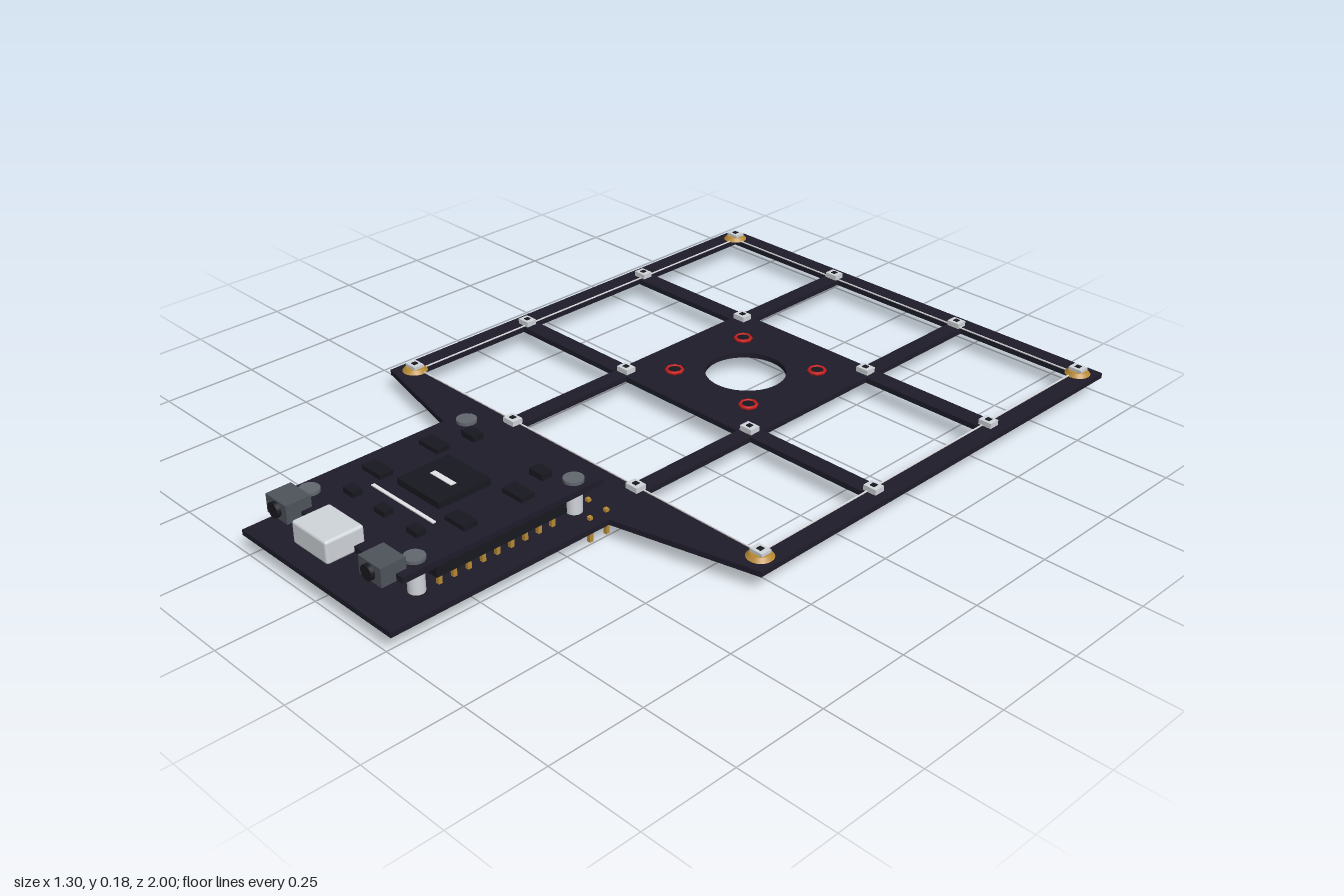
import * as THREE from 'three';
import { RoundedBoxGeometry } from 'three/addons/geometries/RoundedBoxGeometry.js';

const mat = (name, color) => {
  const m = new THREE.MeshStandardMaterial({ color });
  m.name = name;
  return m;
};

export function createModel() {
  const model = new THREE.Group();
  model.name = 'circuitBoardFrame';
  const board = mat('boardDark', 0x1d1c29);
  const plastic = mat('componentBlack', 0x181820);
  const silver = mat('silver', 0xd0d5da);
  const steel = mat('screwGrey', 0x62676e);
  const jackGrey = mat('jackGrey', 0x4e545b);
  const gold = mat('gold', 0xb88a34);
  const red = mat('red', 0xc81c1c);
  const white = mat('printWhite', 0xe4e4e8);

  const add = (name, geo, material, x = 0, y = 0, z = 0) => {
    const m = new THREE.Mesh(geo, material);
    m.name = name;
    m.position.set(x, y, z);
    model.add(m);
    return m;
  };
  // box given by its centre in x and z, and its bottom and top in y
  const box = (name, material, x, z, w, d, y0, y1) =>
    add(name, new THREE.BoxGeometry(w, y1 - y0, d), material, x, (y0 + y1) / 2, z);
  const rod = (name, material, x, z, r0, r1, y0, y1, n = 20) =>
    add(name, new THREE.CylinderGeometry(r1, r0, y1 - y0, n), material, x, (y0 + y1) / 2, z);

  // main plate: windowed frame, tapered neck and tongue
  const base = 0.044, top = 0.058;
  const outline = [[-0.65, -1], [0.65, -1], [0.65, 0.3], [0.27, 0.39],
    [0.27, 1], [-0.27, 1], [-0.27, 0.39], [-0.65, 0.3]];
  const shape = new THREE.Shape(outline.map(([x, z]) => new THREE.Vector2(x, -z)));
  const xs = [[-0.595, -0.24], [-0.195, 0.195], [0.24, 0.595]];
  const zs = [[-0.945, -0.595], [-0.545, -0.155], [-0.108, 0.245]];
  xs.forEach(([x0, x1], i) => zs.forEach(([z0, z1], j) => {
    const hole = new THREE.Path();
    if (i === 1 && j === 1) hole.absarc(0, 0.35, 0.105, 0, Math.PI * 2);
    else hole.setFromPoints([[x0, -z0], [x0, -z1], [x1, -z1], [x1, -z0]].map(p => new THREE.Vector2(...p)));
    shape.holes.push(hole);
  }));
  const plate = new THREE.ExtrudeGeometry(shape, { depth: top - base, bevelEnabled: false, curveSegments: 20 });
  plate.rotateX(-Math.PI / 2);
  add('mainPlate', plate, board, 0, base, 0);

  // fine pale strips beside the inner edges of the outer frame
  for (const s of [-1, 1]) {
    box('edgeStrip', white, 0, -0.35 + s * 0.598, 1.196, 0.003, top, 0.061);
    box('edgeStrip', white, s * 0.598, -0.35, 0.003, 1.196, top, 0.061);
  }

  // lights on the grid crossings, with gold rings at the corners
  for (const x of [-0.605, -0.217, 0.217, 0.605]) {
    for (const z of [-0.955, -0.57, -0.13, 0.255]) {
      const corner = Math.abs(x) > 0.5 && (z < -0.9 || z > 0.2);
      if (corner) rod('cornerRing', gold, x, z, 0.033, 0.024, top, 0.068, 24);
      const h = corner ? 0.076 : 0.072;
      box('light', silver, x, z, 0.037, 0.03, top, h);
      box('lightLens', plastic, x, z, 0.013, 0.013, h, h + 0.002);
    }
  }

  // red rings around the central opening
  for (const x of [-0.13, 0.13]) for (const z of [-0.48, -0.22]) {
    const ring = add('mountRing', new THREE.TorusGeometry(0.021, 0.005, 6, 8), red, x, 0.062, z);
    ring.rotation.x = Math.PI / 2;
    rod('mountCore', plastic, x, z, 0.018, 0.018, top, 0.064, 8);
  }

  // upper board
  const deck = 0.138;
  box('upperBoard', board, 0, 0.6475, 0.455, 0.565, 0.122, deck);

  for (const s of [-1, 1]) {
    // through pins under the neck
    for (const x of [0.12, 0.18, 0.24]) for (const z of [0.37, 0.42]) {
      box('throughPin', gold, s * x, z, 0.01, 0.01, 0, 0.066);
    }
    box('solderPad', gold, s * 0.128, 0.42, 0.046, 0.02, top, 0.066);
    // standoffs and screws
    for (const z of [0.42, 0.868]) {
      rod('standoff', silver, s * 0.188, z, 0.02, 0.02, top, 0.122);
      rod('screwHead', steel, s * 0.188, z, 0.025, 0.025, deck, 0.146);
    }
    // pin headers
    box('pinHeader', plastic, s * 0.2, 0.658, 0.05, 0.366, 0.094, 0.122);
    for (let i = 0; i < 9; i++) box('headerPin', gold, s * 0.2, 0.497 + i * 0.04, 0.01, 0.01, top, 0.094);
    // front jacks
    box('jack', jackGrey, s * 0.168, 0.935, 0.076, 0.066, 0.12, 0.167);
    const socket = add('jackSocket', new THREE.CylinderGeometry(0.019, 0.019, 0.012, 20), plastic, s * 0.168, 0.144, 0.972);
    socket.rotation.x = Math.PI / 2;
    // small components
    box('component', plastic, s * 0.12, 0.458, 0.045, 0.03, deck, 0.154);
    box('component', plastic, s * 0.148, 0.548, 0.066, 0.038, deck, 0.15);
    box('component', plastic, s * 0.148, 0.71, 0.066, 0.038, deck, 0.15);
  }
  for (const x of [-0.113, 0, 0.113]) box('component', plastic, x, 0.805, 0.036, 0.026, deck, 0.152);

  // central chip and printed bars
  box('chip', plastic, 0, 0.638, 0.148, 0.148, deck, 0.155);
  box('chipMark', white, 0, 0.64, 0.074, 0.015, 0.155, 0.157);
  box('printedLine', white, 0, 0.753, 0.22, 0.009, deck, deck + 0.003);

  // rounded front port
  add('port', new RoundedBoxGeometry(0.124, 0.058, 0.1, 3, 0.007), silver, 0, 0.149, 0.95);

  return model;
}
